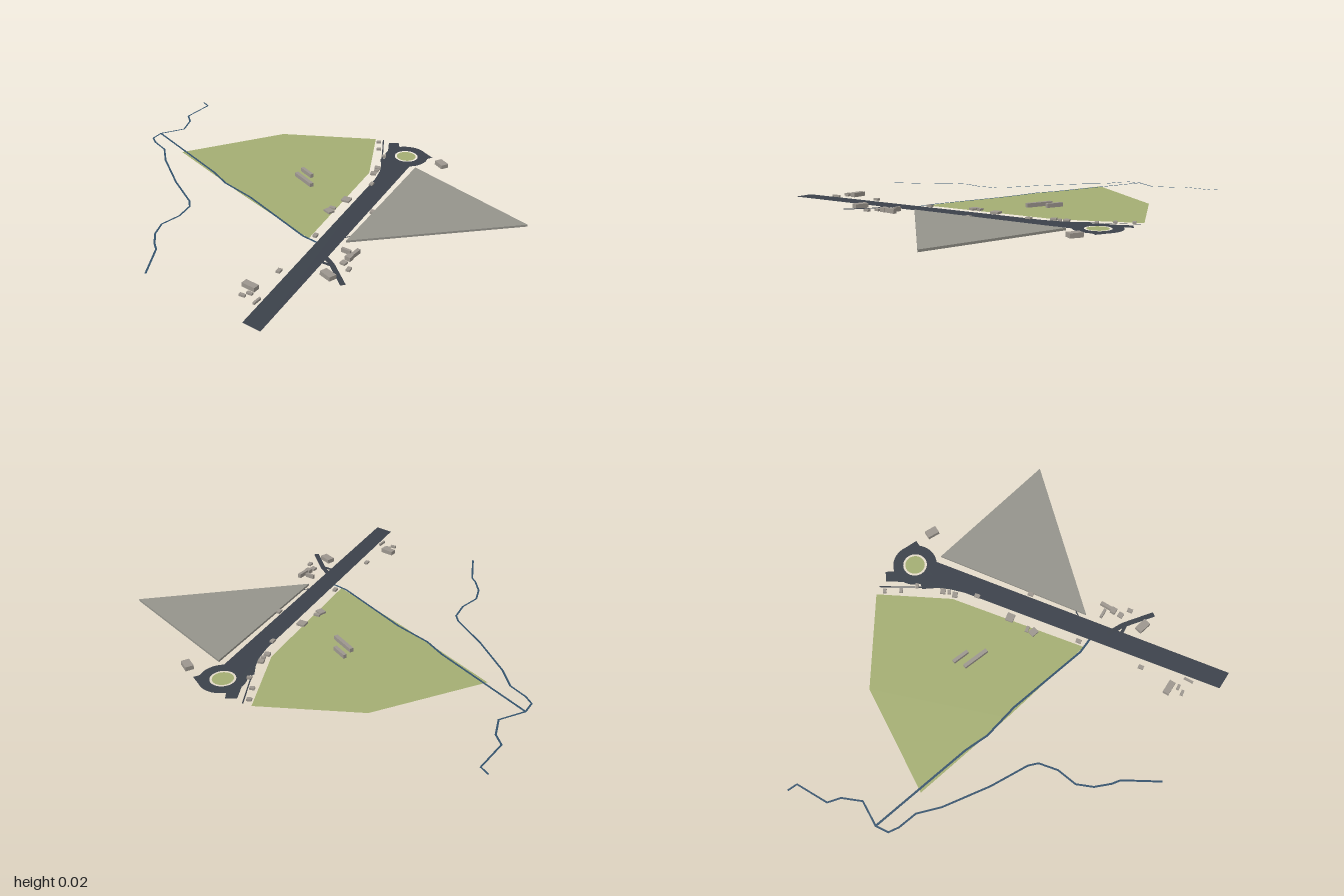
import * as THREE from 'three';

const mat = (name, color, side = THREE.DoubleSide) =>
  new THREE.MeshStandardMaterial({ name, color, side });

export function createModel() {
  const root = new THREE.Group();
  root.name = 'sitePlan';
  const asphalt = mat('asphalt', 0x3b414a);
  const grass = mat('grass', 0xa3ad72);
  const water = mat('water', 0x33516b);
  const concrete = mat('concrete', 0x94938b, THREE.FrontSide);
  const masonry = mat('masonry', 0x9c968e, THREE.FrontSide);

  const add = (parent, name, geometry, material, y = 0) => {
    const mesh = new THREE.Mesh(geometry, material);
    mesh.name = name;
    mesh.position.y = y;
    parent.add(mesh);
    return mesh;
  };
  // Plan outline given as [x, z] pairs
  const outline = (pts) => new THREE.Shape(pts.map(([x, z]) => new THREE.Vector2(x, -z)));
  const flat = (shape) => new THREE.ShapeGeometry(shape, 32).rotateX(-Math.PI / 2);

  // Flat strip of constant width following a plan path
  const ribbon = (pts, width) => {
    const v = pts.map(([x, z]) => new THREE.Vector2(x, z));
    const left = [], right = [];
    v.forEach((p, i) => {
      const a = p.clone().sub(v[Math.max(i - 1, 0)]).normalize();
      const b = v[Math.min(i + 1, v.length - 1)].clone().sub(p).normalize();
      const t = a.add(b).normalize();
      const n = new THREE.Vector2(-t.y, t.x).multiplyScalar(width / 2);
      left.push([p.x + n.x, p.y + n.y]);
      right.unshift([p.x - n.x, p.y - n.y]);
    });
    return flat(outline([...left, ...right]));
  };

  // Large green field
  add(root, 'greenField', flat(outline([
    [0.06, -0.69], [0.535, -0.415], [0.785, -0.005], [0.465, 0.17], [-0.19, 0.295], [-0.075, -0.19],
  ])), grass, 0.001);

  // Raised triangular lot
  add(root, 'triangularLot', new THREE.ExtrudeGeometry(
    outline([[-0.115, 0.44], [0.635, 0.325], [0.49, 0.995]]),
    { depth: 0.01, bevelEnabled: false },
  ).rotateX(-Math.PI / 2), concrete);

  // River and its side stream
  add(root, 'river', ribbon([
    [-0.82, -0.07], [-0.66, -0.165], [-0.635, -0.2], [-0.575, -0.255], [-0.5, -0.288],
    [-0.4, -0.275], [-0.31, -0.295], [-0.275, -0.33], [-0.185, -0.5],
    [-0.055, -0.695], [0.025, -0.78], [0.053, -0.87], [0.08, -0.913],
    [0.143, -0.92], [0.255, -0.86], [0.345, -0.9], [0.385, -0.95],
    [0.547, -0.955], [0.565, -1.0],
  ], 0.009), water, 0.002);
  add(root, 'stream', ribbon([
    [0.143, -0.92], [0, -0.42], [-0.045, -0.31], [-0.075, -0.13], [-0.19, 0.265], [-0.195, 0.36],
  ], 0.01), water, 0.002);

  // Roads: main road with its flare, roundabout ring, exits, lanes and footpaths
  const roads = new THREE.Group();
  roads.name = 'roads';
  root.add(roads);
  const road = (name, geometry) => add(roads, name, geometry, asphalt, 0.003);
  road('mainRoad', flat(outline([
    [-0.825, 0.455], [0.43, 0.228], [0.535, 0.195], [0.615, 0.135],
    [0.66, 0.17], [0.645, 0.29], [-0.825, 0.545],
  ])));
  const ring = new THREE.Shape().absarc(0.717, -0.222, 0.105, 0, Math.PI * 2);
  ring.holes.push(new THREE.Path().absarc(0.717, -0.222, 0.057, 0, Math.PI * 2, true));
  road('roundabout', flat(ring));
  road('northExit', flat(outline([[0.69, 0.13], [0.785, 0.075], [0.815, 0.115], [0.75, 0.165]])));
  road('southExit', flat(outline([[0.74, 0.31], [0.785, 0.332], [0.81, 0.27], [0.78, 0.24]])));
  road('sideLane', ribbon([[-0.25, 0.41], [-0.29, 0.49], [-0.385, 0.615]], 0.024));
  road('laneFork', ribbon([[-0.305, 0.44], [-0.3, 0.5]], 0.015));
  road('footpath', ribbon([[0.49, 0.215], [0.56, 0.18], [0.795, 0.035]], 0.006));
  road('lotPath', ribbon([[-0.105, 0.405], [-0.065, 0.43]], 0.006));

  // Planted island
  add(root, 'roundaboutIsland',
    new THREE.CircleGeometry(0.047, 32).rotateX(-Math.PI / 2).translate(0.717, 0, 0.222), grass, 0.003);

  // Buildings of one type share their size and turn and stand at [x, z] spots
  const buildings = new THREE.Group();
  buildings.name = 'buildings';
  root.add(buildings);
  const build = (name, [w, h, d], turn, ...spots) => {
    const geometry = new THREE.BoxGeometry(w, h, d).rotateY(THREE.MathUtils.degToRad(turn));
    for (const [x, z] of spots) {
      const b = add(buildings, name, geometry, masonry, h / 2);
      b.position.x = x;
      b.position.z = z;
    }
  };
  const low = 0.01, tall = 0.02;
  build('westShed', [0.014, low, 0.027], 8, [-0.69, 0.342], [-0.662, 0.357]);
  build('westBlock', [0.03, tall, 0.066], 0, [-0.627, 0.33]);
  build('westWall', [0.045, low, 0.01], 3, [-0.685, 0.412]);
  build('laneBlock', [0.036, tall, 0.062], -14, [-0.371, 0.53]);
  build('laneHouse', [0.025, low, 0.026], 0, [-0.254, 0.526]);
  build('laneTallHouse', [0.025, tall, 0.028], 0, [-0.215, 0.526]);
  build('laneRow', [0.06, tall, 0.016], 0, [-0.175, 0.528]);
  build('laneAnnex', [0.012, tall, 0.045], 3, [-0.18, 0.487]);
  build('roadsideHouse', [0.026, low, 0.018], 10,
    [-0.467, 0.35], [-0.28, 0.57], [-0.155, 0.306], [0.373, 0.245], [0.163, 0.39]);
  build('fieldHouse', [0.032, low, 0.038], -15, [0.048, 0.231]);
  build('fieldHouse', [0.038, low, 0.04], 10, [0.18, 0.235]);
  build('fieldShed', [0.015, low, 0.03], 12, [0.08, 0.228]);
  build('pathHouse', [0.025, low, 0.027], 25, [0.466, 0.193], [0.524, 0.178]);
  build('pathShed', [0.016, low, 0.022], 30, [0.497, 0.19], [0.645, 0.135], [0.695, 0.073], [0.76, 0.03]);
  build('eastBlock', [0.038, tall, 0.058], -25, [0.743, 0.408]);
  build('longHall', [0.018, tall, 0.13], -19, [0.203, -0.028]);
  build('shortHall', [0.016, tall, 0.082], -19, [0.267, -0.058]);

  return root;
}
